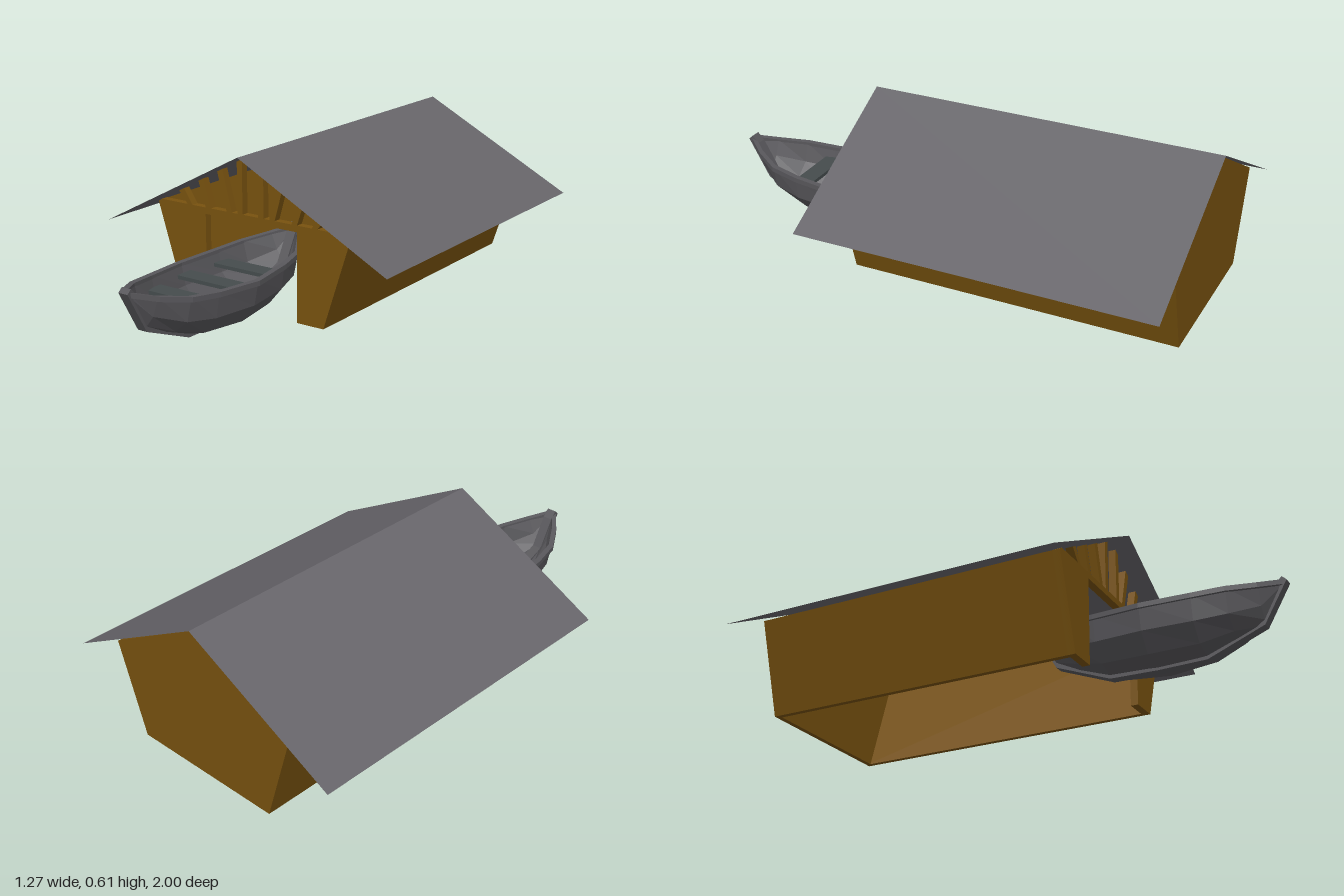
import * as THREE from 'three';

const paint = (color) => new THREE.MeshStandardMaterial({ color, flatShading: true, side: THREE.DoubleSide });
const WOOD = paint(0x78520f);
const ROOF = paint(0x67656a);
const HULL = paint(0x58575b);
const SEAT = paint(0x454c4d);

function add(parent, name, geometry, material) {
  const mesh = new THREE.Mesh(geometry, material);
  mesh.name = name;
  parent.add(mesh);
  return mesh;
}

const polygon = (points) => new THREE.Shape(points.map(([x, y]) => new THREE.Vector2(x, y)));

// Flat outline in x/y, given thickness from z0 to z1
function slab(points, z0, z1) {
  return new THREE.ExtrudeGeometry(polygon(points), { depth: z1 - z0, bevelEnabled: false }).translate(0, 0, z0);
}

// Skin over closed rings of [x, y], one ring per z (counter-clockwise from the front)
function loft(rings, zs) {
  const n = rings[0].length;
  const positions = [];
  const index = [];
  rings.forEach((ring, i) => ring.forEach(([x, y]) => positions.push(x, y, zs[i])));
  for (let i = 0; i < rings.length - 1; i++) {
    for (let j = 0; j < n; j++) {
      const a = i * n + j;
      const b = i * n + (j + 1) % n;
      index.push(a, b, b + n, a, b + n, a + n);
    }
  }
  const indexed = new THREE.BufferGeometry();
  indexed.setAttribute('position', new THREE.Float32BufferAttribute(positions, 3));
  indexed.setIndex(index);
  const geometry = indexed.toNonIndexed();
  geometry.computeVertexNormals();
  return geometry;
}

function createHouse() {
  const house = new THREE.Group();
  house.name = 'boathouse';
  const back = -0.98, front = 0.315, t = 0.02;

  // Leaning side walls and the front panels beside the doorway
  for (const s of [-1, 1]) {
    add(house, s > 0 ? 'leftWall' : 'rightWall',
      slab([[s * 0.325, 0], [s * 0.44, 0.36], [s * (0.44 - t), 0.37], [s * (0.325 - t), 0]], back, front), WOOD);
  }
  add(house, 'backWall', slab([[-0.325, 0], [0.325, 0], [0.44, 0.36], [0, 0.6], [-0.44, 0.36]], back, back + t), WOOD);
  add(house, 'frontWall', slab([
    [-0.325, 0], [-0.21, 0], [-0.21, 0.345], [0.21, 0.345], [0.21, 0],
    [0.325, 0], [0.44, 0.36], [0.425, 0.37], [-0.425, 0.37], [-0.44, 0.36],
  ], front - 0.03, front), WOOD);

  // Fanned slats in the front gable: [centre at foot, centre at top]
  const half = 0.012;
  const roofLine = (x) => 0.6 - 0.545 * x;
  for (const [foot, top] of [[0.048, 0.048], [0.098, 0.14], [0.197, 0.23], [0.285, 0.325]]) {
    for (const s of [-1, 1]) {
      add(house, 'gableSlat', slab([
        [s * (foot - half), 0.37], [s * (foot + half), 0.37],
        [s * (top + half), roofLine(top + half)], [s * (top - half), roofLine(top - half)],
      ], front - 0.03, front), WOOD);
    }
  }

  // Thin roof planes with wide eaves
  const width = 0.635, rise = 0.335, depth = 1.39;
  for (const s of [-1, 1]) {
    const plane = new THREE.PlaneGeometry(Math.hypot(width, rise), depth).rotateX(-Math.PI / 2);
    const roof = add(house, s > 0 ? 'leftRoof' : 'rightRoof', plane, ROOF);
    roof.rotation.z = -s * Math.atan2(rise, width);
    roof.position.set(s * width / 2, 0.605 - rise / 2, -0.305);
  }
  return house;
}

function createBoat() {
  const boat = new THREE.Group();
  boat.name = 'boat';

  // Half of the double-ended hull: z from the middle, then gunwale, side, chine and keel points
  const halfStations = [
    [0, [0.183, 0.205], [0.165, 0.11], [0.11, 0.04], [0, 0.02]],
    [0.19, [0.16, 0.212], [0.145, 0.115], [0.09, 0.05], [0, 0.026]],
    [0.31, [0.135, 0.222], [0.115, 0.13], [0.06, 0.085], [0, 0.07]],
    [0.41, [0.075, 0.24], [0.05, 0.165], [0.02, 0.125], [0, 0.11]],
    [0.485, [0.014, 0.262], [0.012, 0.25], [0.008, 0.245], [0, 0.24]],
  ];
  const stations = [
    ...halfStations.slice(1).reverse().map(([z, ...p]) => [-z, ...p]),
    ...halfStations,
  ];
  const zs = stations.map((s) => s[0]);

  // Hull shell with inner and outer skin
  const rings = stations.map(([, ...p]) => {
    const right = p.map(([x, y]) => [-x, y]);
    const outer = [...right, ...p.slice(0, 3).reverse()];
    const inner = outer.map(([x, y], i) => [
      Math.sign(x) * Math.max(Math.abs(x) - 0.014, Math.abs(x) * 0.3),
      i === 0 || i === 6 ? y : y + 0.014,
    ]);
    return [...outer, ...inner.reverse()];
  });
  add(boat, 'hull', loft(rings, zs), HULL);

  // Rails along the gunwales
  for (const s of [-1, 1]) {
    const railRings = stations.map(([, [w, y]]) => {
      const a = s * w - (s > 0 ? 0.016 : 0.007);
      const b = s * w + (s > 0 ? 0.007 : 0.016);
      return [[a, y - 0.016], [b, y - 0.016], [b, y + 0.003], [a, y + 0.003]];
    });
    add(boat, s > 0 ? 'leftRail' : 'rightRail', loft(railRings, zs), HULL);
  }

  // Keel sweeping up into a stem post at both ends
  const outerKeel = [[0.19, 0.017], [0.41, 0.105], [0.5, 0.262], [0.482, 0.278]];
  const innerKeel = [[0.455, 0.25], [0.39, 0.135], [0.18, 0.05]];
  const side = [...outerKeel, ...innerKeel];
  const mirrored = side.map(([z, y]) => [-z, y]).reverse();
  const keel = slab([[0, 0.013], ...side, [0, 0.044], ...mirrored], -0.02, 0.02).rotateY(-Math.PI / 2);
  add(boat, 'keelAndStems', keel, HULL);

  // Bench seats
  for (const [z, w] of [[-0.19, 0.28], [0, 0.315], [0.19, 0.28]]) {
    add(boat, 'seat', new THREE.BoxGeometry(w, 0.014, 0.075).translate(0, 0.165, z), SEAT);
  }

  boat.position.set(-0.009, 0, 0.5);
  return boat;
}

export function createModel() {
  const model = new THREE.Group();
  model.name = 'boathouseWithBoat';
  model.add(createHouse(), createBoat());
  return model;
}
